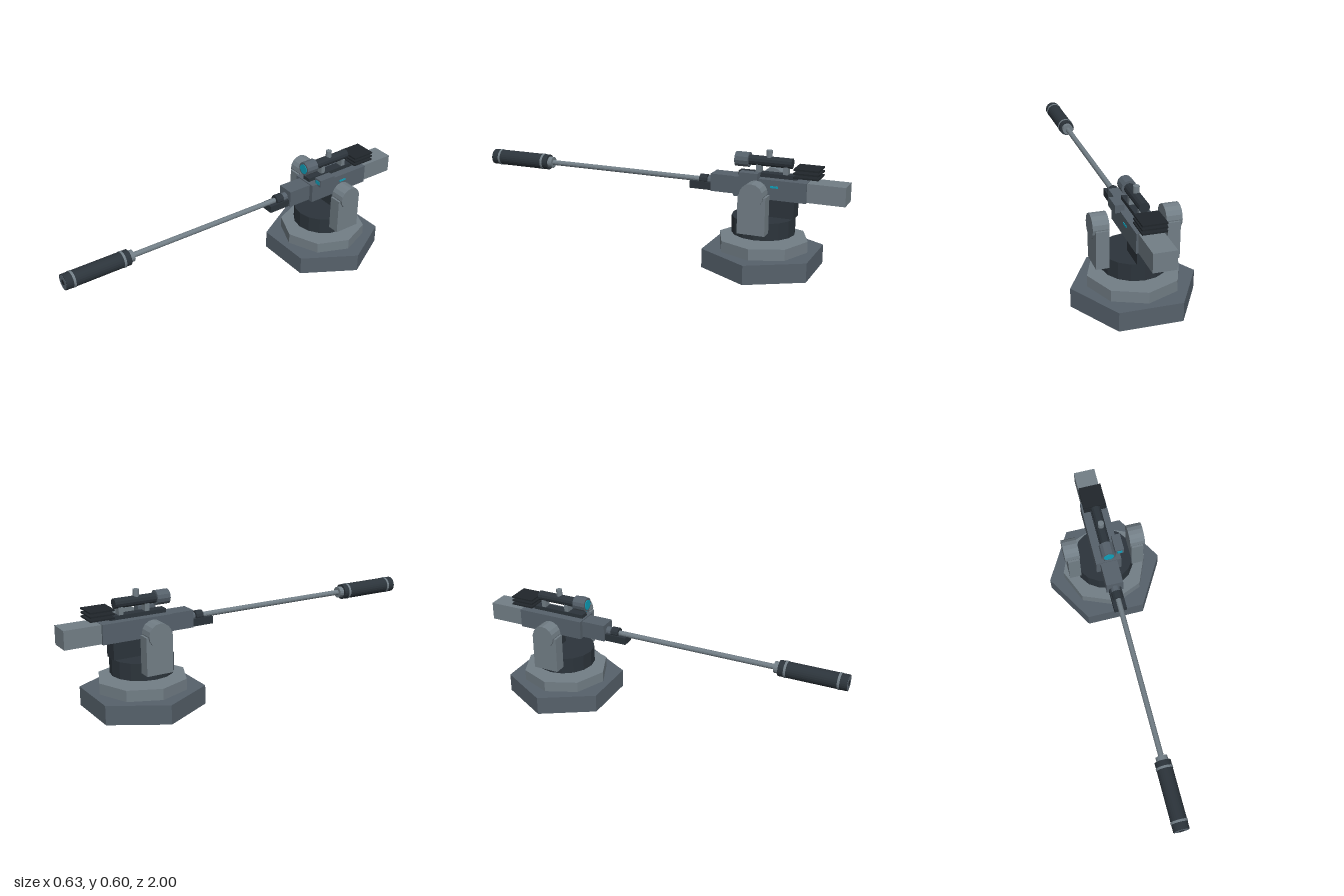
import * as THREE from 'three';

const mat = (color) => new THREE.MeshStandardMaterial({ color, flatShading: true });

export function createModel() {
  const group = new THREE.Group();
  const steel = mat(0x56616b), light = mat(0x727e86), dark = mat(0x2c343b), black = mat(0x20262b), teal = mat(0x10a0ba);
  const CZ = -0.58; // turntable axis
  const BORE = 0.417; // barrel height

  const add = (name, geometry, material) => {
    const mesh = new THREE.Mesh(geometry, material);
    mesh.name = name;
    group.add(mesh);
    return mesh;
  };
  // box given by its limits on each axis
  const box = (name, m, x0, x1, y0, y1, z0, z1) =>
    add(name, new THREE.BoxGeometry(x1 - x0, y1 - y0, z1 - z0), m)
      .position.set((x0 + x1) / 2, (y0 + y1) / 2, (z0 + z1) / 2);
  // upright prism
  const disc = (name, m, r, y0, y1, sides, turn = 0, z = CZ) => {
    const mesh = add(name, new THREE.CylinderGeometry(r, r, y1 - y0, sides), m);
    mesh.position.set(0, (y0 + y1) / 2, z);
    mesh.rotation.y = turn;
  };
  // cylinder lying along z
  const rod = (name, m, r, y, z0, z1, sides = 16) => {
    const g = new THREE.CylinderGeometry(r, r, z1 - z0, sides).rotateX(Math.PI / 2);
    add(name, g, m).position.set(0, y, (z0 + z1) / 2);
  };

  // stepped base and floating turntable
  disc('base', steel, 0.313, 0, 0.098, 6, Math.PI / 6);
  disc('baseStep', light, 0.231, 0.098, 0.155, 8);
  disc('turntable', dark, 0.16, 0.18, 0.267, 16);

  // side arms with pivot drums
  for (const s of [1, -1]) {
    const x0 = Math.min(s * 0.142, s * 0.206);
    box('arm', light, x0, x0 + 0.064, 0.22, 0.412, CZ - 0.07, CZ + 0.07);
    const pivot = add('pivot', new THREE.CylinderGeometry(0.06, 0.06, 0.08, 16).rotateZ(Math.PI / 2), light);
    pivot.position.set(s * 0.178, BORE, CZ);
  }

  // receiver body
  box('receiverFront', steel, -0.045, 0.045, 0.372, 0.462, -0.44, -0.31);
  box('receiver', steel, -0.068, 0.068, 0.367, 0.467, -0.81, -0.44);
  box('receiverRear', light, -0.057, 0.057, 0.37, 0.465, -1, -0.81);
  box('feedBox', dark, -0.04, 0.04, 0.272, 0.367, -0.745, -0.6);
  box('statusLight', teal, 0.067, 0.071, 0.428, 0.438, -0.67, -0.63);

  // barrel support
  box('barrelCradle', dark, -0.033, 0.033, 0.372, 0.41, -0.31, -0.19);
  rod('barrelClampRear', steel, 0.024, BORE, -0.31, -0.285, 12);
  rod('barrelClamp', dark, 0.028, BORE, -0.28, -0.24, 12);

  // barrel and muzzle sleeve
  rod('barrel', light, 0.014, BORE, -0.31, 0.65, 12);
  rod('muzzleCollar', light, 0.03, BORE, 0.625, 0.655);
  rod('muzzleSleeve', dark, 0.041, BORE, 0.65, 0.998, 24);
  for (const z of [0.685, 0.955]) rod('sleeveBand', light, 0.043, BORE, z - 0.006, z + 0.006, 24);
  rod('muzzleCap', steel, 0.036, BORE, 0.99, 0.999, 24);
  rod('muzzleBore', black, 0.014, BORE, 0.99, 1);

  // rail, scope and its mounts
  box('rail', dark, -0.024, 0.024, 0.467, 0.487, -0.75, -0.45);
  for (const z of [-0.55, -0.69]) box('scopeMount', light, -0.02, 0.02, 0.487, 0.525, z - 0.012, z + 0.012);
  rod('scopeTube', dark, 0.026, 0.543, -0.72, -0.49, 12);
  rod('scopeBell', steel, 0.038, 0.543, -0.5, -0.43, 12);
  rod('scopeLens', teal, 0.027, 0.543, -0.44, -0.427, 20);
  disc('scopeTurret', light, 0.016, 0.56, 0.6, 12, 0, -0.6);

  // stacked cooling fins
  for (const y of [0.488, 0.508, 0.528]) box('coolingFin', black, -0.06, 0.06, y - 0.004, y + 0.004, -0.865, -0.74);

  // side sensor
  box('sensorHousing', steel, 0.045, 0.092, 0.457, 0.497, -0.57, -0.475);
  box('sensorWindow', teal, 0.054, 0.083, 0.467, 0.487, -0.48, -0.472);

  return group;
}
